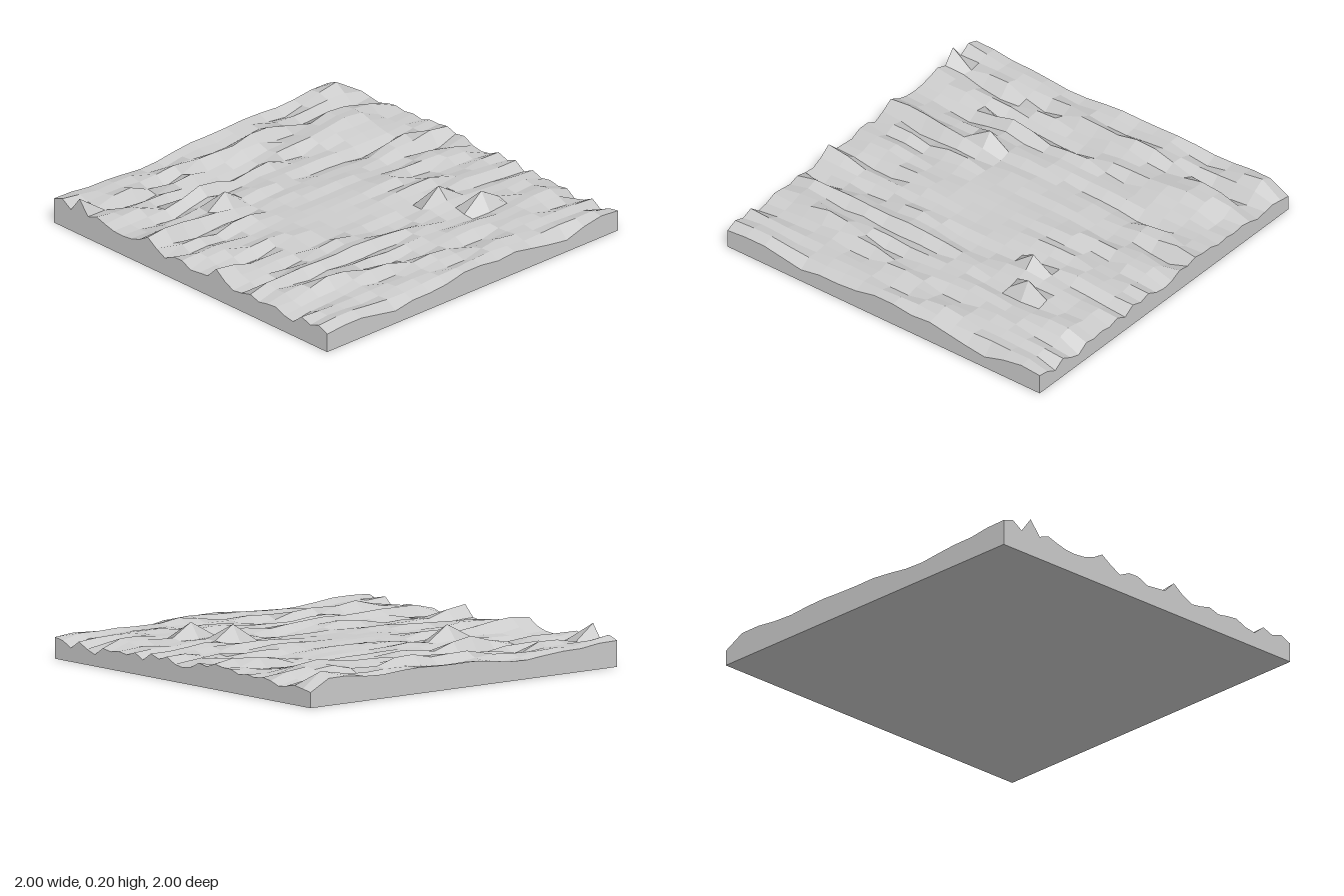
import * as THREE from 'three';

const COLS = 17, ROWS = 32, MEAN = 0.118;

// Edge heights along the front (left to right) and right side (back to front)
const frontEdge = [.10, .11, .11, .09, .07, .09, .09, .10, .125, .125, .11, .12, .10, .08, .065, .10, .12, .11];
const rightEdge = [.08, .09, .10, .09, .08, .10, .11, .10, .11, .10, .12, .12, .13, .11, .12, .09, .08,
  .09, .12, .10, .12, .08, .11, .09, .10, .09, .10, .06, .08, .11, .07, .10, .11];
// Highest crest in each row, back to front
const crests = [.14, .17, .13, .19, .15, .15, .17, .17, .16, .13, .19, .18, .17, .14, .135, .135, .15,
  .135, .14, .17, .14, .19, .14, .15, .19, .14, .17, .15, .14, .13, .15, .14, .13];

function seeded(seed) {
  return () => {
    seed = (seed * 1664525 + 1013904223) >>> 0;
    return seed / 4294967296;
  };
}

// Uneven ground: rows of ridges running along x, calmer towards the middle
function makeHeights() {
  const random = seeded(41);
  const grid = [];
  for (let r = 0; r <= ROWS; r++) {
    const raw = Array.from({ length: COLS + 3 }, () => random() * 2 - 1);
    const z = r / ROWS * 2 - 1;
    const row = [];
    for (let c = 0; c <= COLS; c++) {
      const x = c / COLS * 2 - 1;
      const calm = THREE.MathUtils.smoothstep(Math.hypot(x, z), 0.1, 0.75);
      const noise = raw[c] * 0.35 + raw[c + 1] * 0.7 + raw[c + 2] * 0.35;
      row.push(noise * (0.15 + 0.85 * calm));
    }
    const top = Math.max(...row);
    const scale = Math.min((crests[r] - MEAN) / Math.max(top, 0.3), 0.055);
    grid.push(row.map((n) => Math.max(0.065, MEAN + n * scale)));
  }
  for (let r = 0; r <= ROWS; r++) grid[r][COLS] = rightEdge[r];
  for (let c = 0; c <= COLS; c++) grid[ROWS][c] = frontEdge[c];
  // Tallest single peaks
  for (const [r, c] of [[3, 0], [10, 5], [21, 12], [24, 13]]) grid[r][c] = 0.2;
  return grid;
}

// Mesh of separate four-cornered facets, corners counter-clockwise from outside
function facetMesh(name, quads) {
  const positions = [], normals = [];
  for (const [a, b, c, d] of quads) {
    const normal = c.clone().sub(a).cross(d.clone().sub(b)).normalize();
    for (const p of [a, b, c, a, c, d]) {
      positions.push(p.x, p.y, p.z);
      normals.push(normal.x, normal.y, normal.z);
    }
  }
  const geometry = new THREE.BufferGeometry();
  geometry.setAttribute('position', new THREE.Float32BufferAttribute(positions, 3));
  geometry.setAttribute('normal', new THREE.Float32BufferAttribute(normals, 3));
  const mesh = new THREE.Mesh(geometry, new THREE.MeshStandardMaterial({ color: 0xcccccc }));
  mesh.name = name;
  return mesh;
}

export function createModel() {
  const model = new THREE.Group();
  model.name = 'terrainSlab';
  const heights = makeHeights();
  const point = (r, c) => new THREE.Vector3(c / COLS * 2 - 1, heights[r][c], r / ROWS * 2 - 1);

  // Faceted top surface
  const ground = [];
  for (let r = 0; r < ROWS; r++) {
    for (let c = 0; c < COLS; c++) {
      ground.push([point(r, c), point(r + 1, c), point(r + 1, c + 1), point(r, c + 1)]);
    }
  }
  model.add(facetMesh('groundSurface', ground));

  // Upright walls from the uneven rim down to the floor
  const floor = (p) => new THREE.Vector3(p.x, 0, p.z);
  const wall = (a, b) => [floor(a), floor(b), b, a];
  const walls = [];
  for (let c = 0; c < COLS; c++) {
    walls.push(wall(point(ROWS, c), point(ROWS, c + 1)), wall(point(0, c + 1), point(0, c)));
  }
  for (let r = 0; r < ROWS; r++) {
    walls.push(wall(point(r + 1, COLS), point(r, COLS)), wall(point(r, 0), point(r + 1, 0)));
  }
  model.add(facetMesh('sideWalls', walls));

  // Flat underside
  const corners = [point(0, 0), point(0, COLS), point(ROWS, COLS), point(ROWS, 0)].map(floor);
  model.add(facetMesh('underside', [corners]));
  return model;
}
